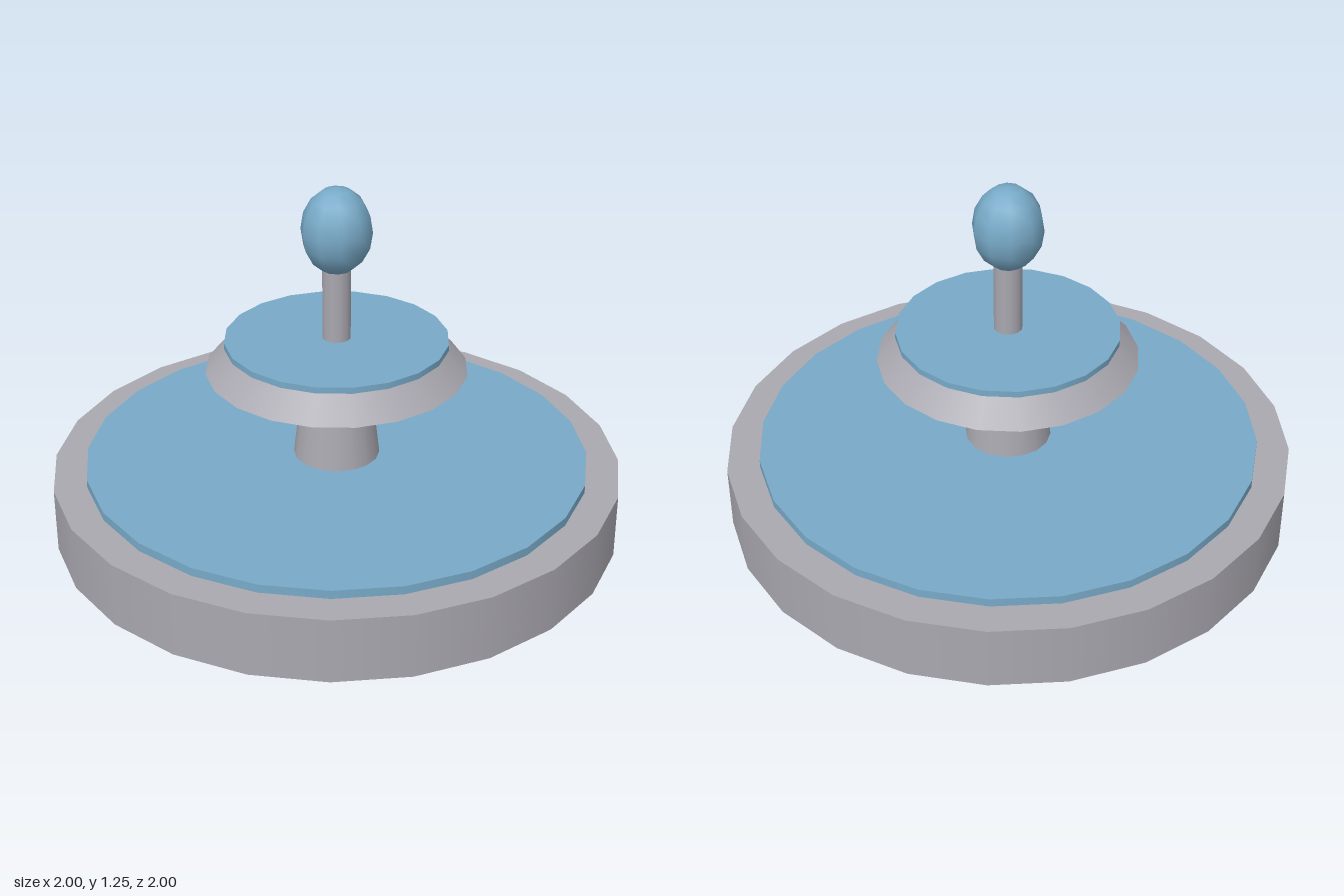
import * as THREE from 'three';

export function createModel() {
  const model = new THREE.Group();
  model.name = 'fountain';
  const stone = new THREE.MeshStandardMaterial({ color: 0xaaa8b0 });
  stone.name = 'stone grey';
  const water = new THREE.MeshStandardMaterial({ color: 0x78aac8 });
  water.name = 'water blue';

  // Round part standing between two heights
  function round(name, material, topRadius, bottomRadius, y0, y1, sides) {
    const mesh = new THREE.Mesh(
      new THREE.CylinderGeometry(topRadius, bottomRadius, y1 - y0, sides), material);
    mesh.name = name;
    mesh.position.y = (y0 + y1) / 2;
    model.add(mesh);
  }

  // Lower basin and its pool
  round('basin', stone, 1, 1, 0, 0.23, 24);
  round('basinWater', water, 0.885, 0.885, 0.22, 0.26, 24);

  // Tapered column carrying the flared upper bowl
  round('column', stone, 0.11, 0.155, 0.23, 0.61, 16);
  round('upperBowl', stone, 0.36, 0.455, 0.595, 0.69, 20);
  round('upperBowlWater', water, 0.388, 0.388, 0.684, 0.706, 20);

  // Spout with an egg-shaped water burst
  round('spout', stone, 0.05, 0.05, 0.69, 1.0, 12);
  const burst = new THREE.Mesh(
    new THREE.SphereGeometry(1, 10, 8).rotateY(Math.PI / 2).scale(0.123, 0.153, 0.123), water);
  burst.name = 'waterBurst';
  burst.position.y = 1.098;
  model.add(burst);

  return model;
}
